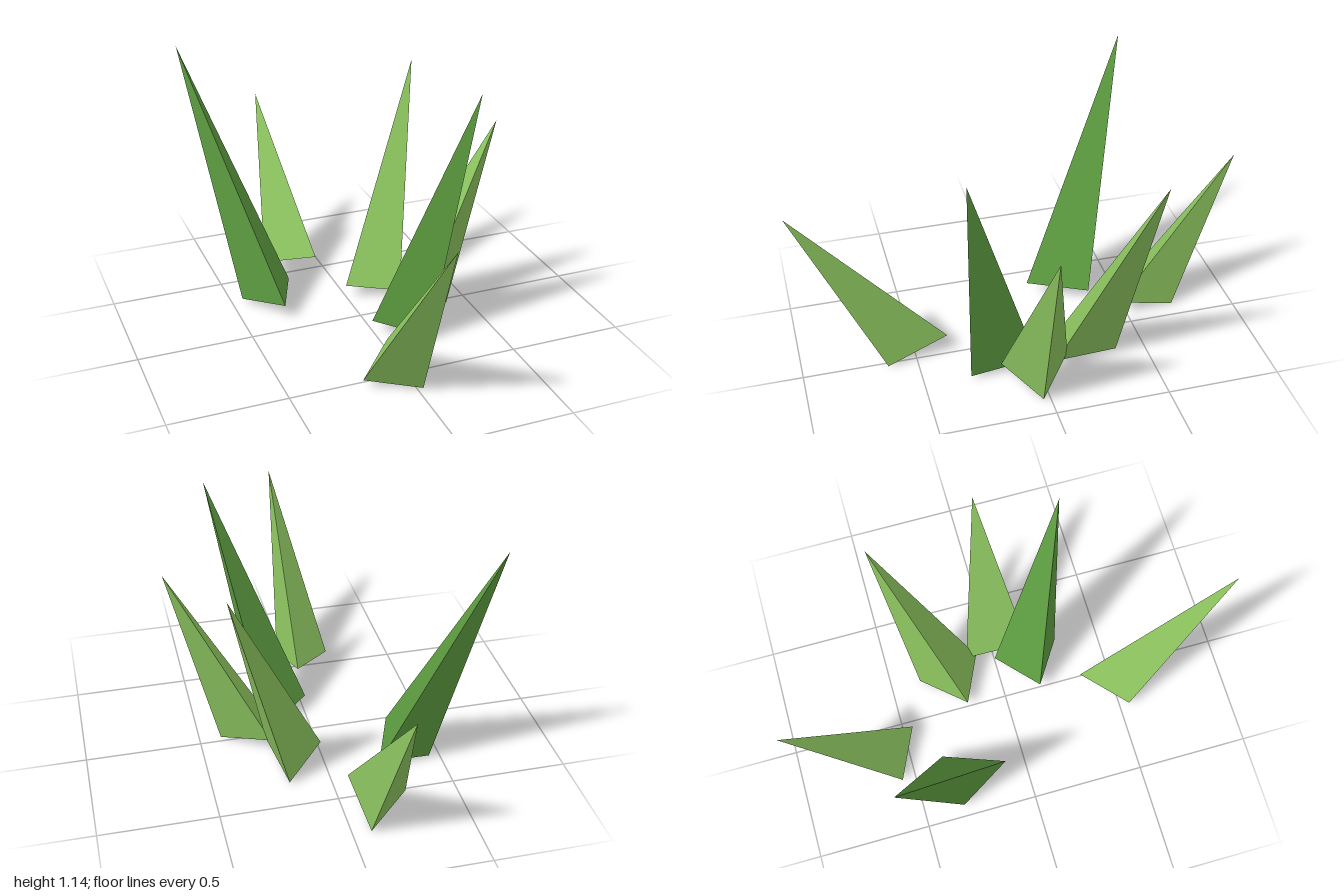
import * as THREE from 'three';

const lightGreen = new THREE.MeshStandardMaterial({ color: 0x8cc45f });
lightGreen.name = 'light green';
const deepGreen = new THREE.MeshStandardMaterial({ color: 0x5e9e41 });
deepGreen.name = 'deep green';

// A three-sided spike: tip plus a triangular base, wound so every face points outward
function blade(name, material, tip, base) {
  const t = new THREE.Vector3(...tip);
  let [a, b, c] = base.map(p => new THREE.Vector3(...p));
  const normal = b.clone().sub(a).cross(c.clone().sub(a));
  if (normal.dot(t.clone().sub(a)) < 0) [b, c] = [c, b];
  const faces = [a, c, b, a, b, t, b, c, t, c, a, t];
  const geometry = new THREE.BufferGeometry().setFromPoints(faces);
  geometry.computeVertexNormals();
  const mesh = new THREE.Mesh(geometry, material);
  mesh.name = name;
  return mesh;
}

export function createModel() {
  const tuft = new THREE.Group();
  tuft.name = 'grassTuft';
  tuft.add(
    // Blades leaning forward and backward
    blade('frontBlade', lightGreen, [-0.025, 0.81, 1.0],
      [[0.025, 0.005, 0.63], [-0.2, 0.04, 0.54], [-0.02, 0.087, 0.355]]),
    blade('backBlade', lightGreen, [-0.155, 0.725, -1.0],
      [[-0.27, 0.045, -0.56], [-0.05, 0.083, -0.455], [-0.08, 0.003, -0.725]]),
    // Tall blade leaning to the right rear
    blade('tallRightBlade', deepGreen, [-0.62, 1.145, -0.595],
      [[-0.45, 0.012, -0.32], [-0.32, 0.07, -0.09], [-0.215, 0.05, -0.36]]),
    // Cluster leaning to the left
    blade('leftRearBlade', lightGreen, [0.43, 0.995, -0.465],
      [[0.178, 0.015, -0.365], [0, 0.06, -0.18], [0.222, 0.043, -0.08]]),
    blade('tallLeftBlade', deepGreen, [0.387, 1.11, 0.333],
      [[-0.01, 0.068, 0.165], [0.2, 0.02, 0.298], [0.182, 0.042, 0]]),
    blade('leftBlade', lightGreen, [0.615, 0.855, 0.03],
      [[0.405, 0.003, 0.03], [0.205, 0.065, 0.165], [0.21, 0.068, -0.13]])
  );
  return tuft;
}
